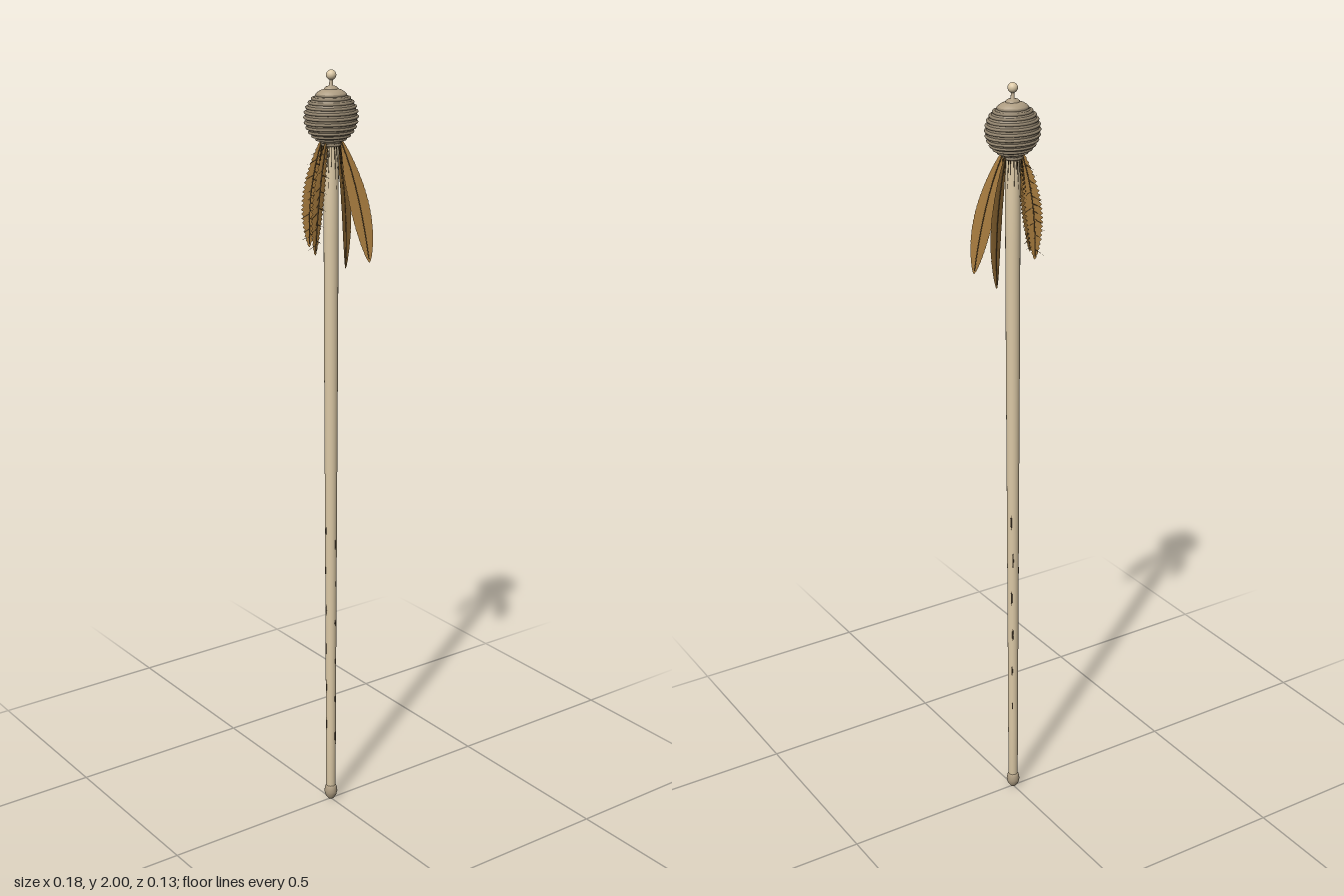
import * as THREE from 'three';

const paint = (color, side = THREE.FrontSide) => new THREE.MeshStandardMaterial({ color, side });

function add(parent, name, geometry, material) {
  const mesh = new THREE.Mesh(geometry, material);
  mesh.name = name;
  parent.add(mesh);
  return mesh;
}

const lathe = (points, segments = 32) =>
  new THREE.LatheGeometry(points.map(([r, y]) => new THREE.Vector2(r, y)), segments);

// Thin spike from a start point along a direction
function addBarb(parent, start, dir, length, material) {
  const barb = add(parent, 'featherBarb', new THREE.ConeGeometry(0.0012, length, 4), material);
  barb.quaternion.setFromUnitVectors(new THREE.Vector3(0, 1, 0), dir);
  barb.position.copy(start).addScaledVector(dir, length / 2);
}

// Feather hanging in the radial (x, y) plane: a cupped, slightly twisted vane around a quill
function makeFeather({ angle, reach, tip, width, fray, bend, twist }, vaneMat, quillMat) {
  const feather = new THREE.Group();
  const rows = 48, top = 1.84;
  const spine = t => new THREE.Vector3(0.02 + (reach - 0.02) * Math.pow(t, 0.85) + bend * Math.sin(Math.PI * t),
    top + (tip - top) * t, 0);
  const positions = [], index = [];
  for (let i = 0; i <= rows; i++) {
    const t = i / rows, c = spine(t);
    const notch = i % 2 ? 1 : 1 - fray;
    const w = width * Math.pow(Math.max(0, Math.sin(Math.PI * Math.pow(t, 1.05))), 0.65) * notch;
    const drop = 0.35 * w * (1 - t);
    positions.push(c.x - w, c.y - drop, w * (0.15 - twist), c.x, c.y, 0, c.x + w, c.y - drop, w * (0.15 + twist));
    if (i === rows) continue;
    for (let k = 0; k < 2; k++) {
      const a = i * 3 + k, b = a + 3;
      index.push(a, b, a + 1, a + 1, b, b + 1);
    }
  }
  const vane = new THREE.BufferGeometry();
  vane.setAttribute('position', new THREE.Float32BufferAttribute(positions, 3));
  vane.setIndex(index);
  vane.computeVertexNormals();
  add(feather, 'featherVane', vane, vaneMat);
  const curve = new THREE.CatmullRomCurve3([0, 0.25, 0.5, 0.75, 0.97].map(spine));
  add(feather, 'featherQuill', new THREE.TubeGeometry(curve, 20, 0.0014, 6), quillMat);

  // Loose barbs standing off the edges of the ragged feathers
  if (fray > 0.2) {
    for (let i = 0; i < 24; i++) {
      const dir = new THREE.Vector3(i % 2 ? 1 : -1, -0.5, 0.5 * Math.sin(i * 1.7)).normalize();
      addBarb(feather, spine(0.1 + i * 0.035), dir, width * (1.1 + 0.25 * Math.sin(i * 2.3)), quillMat);
    }
  }
  feather.rotation.y = -angle;
  return feather;
}

export function createModel() {
  const model = new THREE.Group();
  const wood = paint(0xdcc9a6), cord = paint(0x91836d), capMat = paint(0xae9d82), dark = paint(0x5c4c38);
  const vaneMat = paint(0xa87c3e, THREE.DoubleSide), quillMat = paint(0x5a4526);

  // Tapered shaft
  add(model, 'shaft', lathe([[0, 0.03], [0.013, 0.03], [0.0135, 0.2], [0.0145, 0.5], [0.016, 0.9],
    [0.0175, 1.25], [0.0185, 1.6], [0.019, 1.84], [0, 1.84]], 20), wood);

  // Foot knob
  add(model, 'footKnob', lathe([[0, 0.002], [0.008, 0.004], [0.015, 0.014], [0.018, 0.027],
    [0.016, 0.039], [0.013, 0.046], [0, 0.046]], 24), capMat);

  // Narrow carved marks along the lower shaft
  for (let i = 0; i < 18; i++) {
    const y = 0.2 + i * 0.038, a = (i % 3) * 2.1 + 1.2 + 0.25 * Math.sin(i * 3.1);
    const r = 0.0124 + y * 0.0036;
    const mark = add(model, 'carvedMark', new THREE.SphereGeometry(1, 8, 6), dark);
    mark.scale.set(0.002, 0.016 + 0.007 * Math.sin(i * 1.9), 0.002);
    mark.position.set(Math.cos(a) * r, y, Math.sin(a) * r);
  }

  // Round head: a slightly flattened ball
  const head = new THREE.Group();
  head.name = 'head';
  head.position.y = 1.887;
  head.scale.z = 0.87;
  model.add(head);
  const core = add(head, 'headCore', new THREE.SphereGeometry(0.066, 40, 24), cord);
  core.scale.y = 0.97;

  // Cord wound round the head in stacked coils
  const coils = 12;
  for (let i = 0; i < coils; i++) {
    const a = -1.2 + 2.2 * i / (coils - 1);
    const coil = add(head, 'cordCoil', new THREE.TorusGeometry(0.066 * Math.cos(a), 0.005, 8, 48), cord);
    coil.rotation.x = Math.PI / 2;
    coil.position.y = 0.063 * Math.sin(a);
    coil.scale.z = 0.75;
  }

  // Smooth cap, collar and finial above the head
  add(head, 'cap', lathe([[0.04, 0.052], [0.036, 0.059], [0.028, 0.064], [0.018, 0.067], [0, 0.068]]), capMat);
  add(head, 'collar', lathe([[0.018, 0.064], [0.018, 0.069], [0.013, 0.073], [0.005, 0.075],
    [0.0045, 0.092], [0, 0.092]]), capMat);
  const finial = add(model, 'finial', new THREE.SphereGeometry(0.0125, 20, 14), wood);
  finial.position.y = 1.9875;

  // Cord binding the feathers beneath the head
  for (let i = 0; i < 2; i++) {
    const ring = add(model, 'bindingRing', new THREE.TorusGeometry(0.021, 0.004, 8, 24), cord);
    ring.rotation.x = Math.PI / 2;
    ring.position.y = 1.828 - i * 0.007;
  }

  // Hanging feathers: two full ones on the left, two ragged ones on the right
  [
    { name: 'leftFrontFeather', angle: 0.6, reach: 0.096, tip: 1.525, width: 0.025, fray: 0.05, bend: 0.006, twist: 0.25 },
    { name: 'leftBackFeather', angle: -0.2, reach: 0.054, tip: 1.5, width: 0.026, fray: 0.05, bend: 0.012, twist: -0.3 },
    { name: 'rightFrontFeather', angle: Math.PI - 0.47, reach: 0.084, tip: 1.56, width: 0.023, fray: 0.28, bend: 0.006, twist: 0.25 },
    { name: 'rightBackFeather', angle: Math.PI + 0.62, reach: 0.054, tip: 1.565, width: 0.023, fray: 0.28, bend: 0.01, twist: -0.3 },
  ].forEach(spec => {
    const feather = makeFeather(spec, vaneMat, quillMat);
    feather.name = spec.name;
    model.add(feather);
  });

  // Downy barbs hanging round the top of the shaft
  const down = new THREE.Group();
  down.name = 'down';
  model.add(down);
  for (let i = 0; i < 26; i++) {
    const a = i * 2.4, c = Math.cos(a), s = Math.sin(a);
    const dir = new THREE.Vector3(c * 0.12, -1, s * 0.12).normalize();
    addBarb(down, new THREE.Vector3(c * 0.022, 1.83, s * 0.022), dir, 0.09 + 0.04 * Math.sin(i * 1.3), quillMat);
  }

  return model;
}
